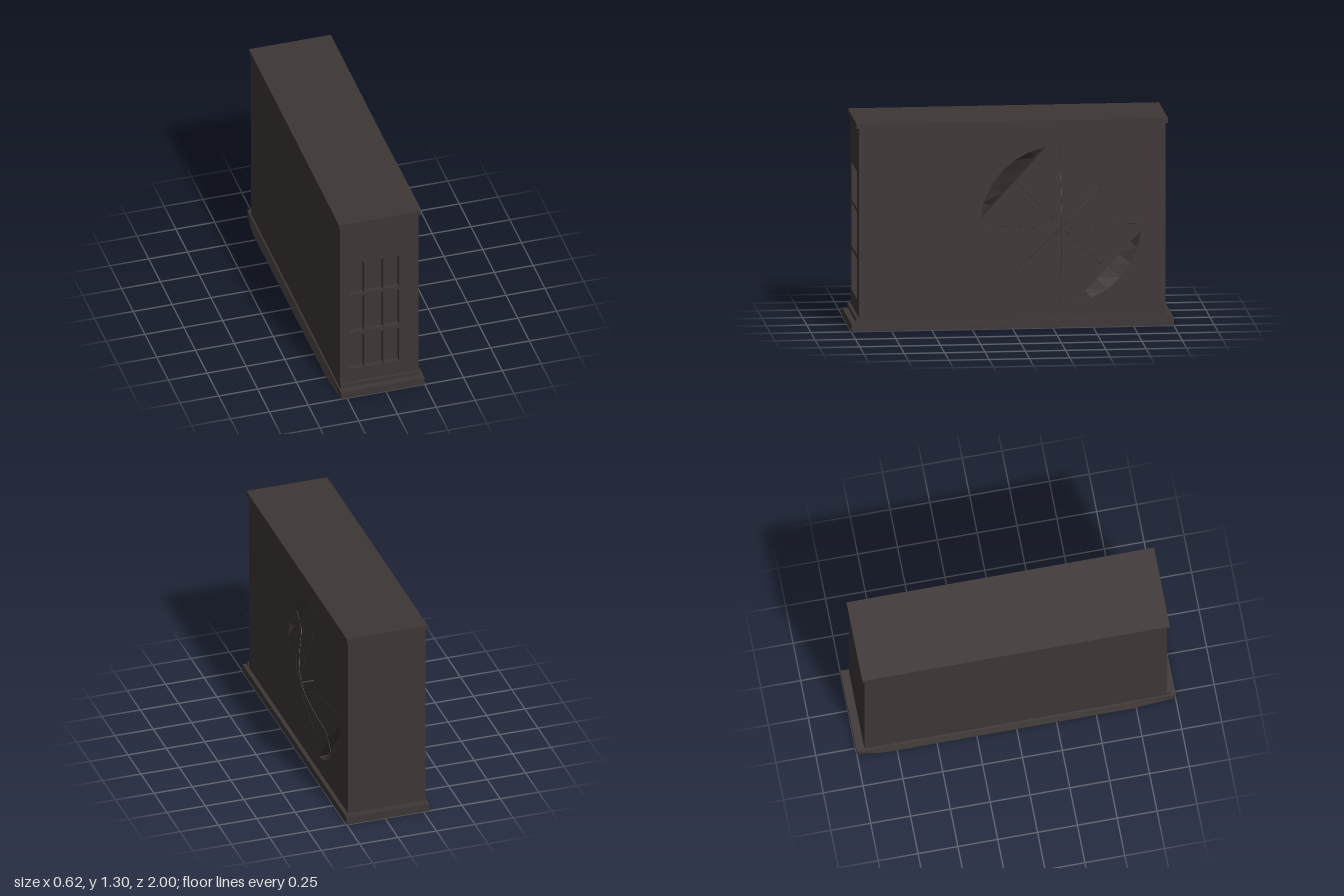
import * as THREE from 'three';

export function createModel() {
  const model = new THREE.Group();
  const dark = new THREE.MeshStandardMaterial({ color: 0x3d3635, side: THREE.DoubleSide });
  dark.name = 'darkCasing';

  const add = (name, geometry) => {
    const mesh = new THREE.Mesh(geometry, dark);
    mesh.name = name;
    model.add(mesh);
    return mesh;
  };
  // Box given by its two opposite corners
  const box = (name, x0, y0, z0, x1, y1, z1) => {
    const g = new THREE.BoxGeometry(x1 - x0, y1 - y0, z1 - z0);
    g.translate((x0 + x1) / 2, (y0 + y1) / 2, (z0 + z1) / 2);
    return add(name, g);
  };
  const rectangle = (x0, y0, x1, y1, Type = THREE.Shape) =>
    new Type([[x0, y0], [x1, y0], [x1, y1], [x0, y1]].map(p => new THREE.Vector2(...p)));

  // Base: its left side bulges outward and leans in towards the top
  const outline = [[-0.29, -1], [0.25, -1], [0.25, 1], [-0.29, 1], [-0.31, 0.83], [-0.31, -0.73]];
  let base = new THREE.ExtrudeGeometry(
    new THREE.Shape(outline.map(p => new THREE.Vector2(...p))), { depth: 0.05, bevelEnabled: false });
  base.rotateX(-Math.PI / 2);
  const pos = base.attributes.position;
  for (let i = 0; i < pos.count; i++) {
    if (pos.getY(i) > 0.025) pos.setX(i, Math.max(pos.getX(i), -0.29));
  }
  base.computeVertexNormals();
  add('base', base);

  // Case, base ledge and lid
  box('case', -0.28, 0.05, -0.95, 0.165, 1.27, 0.92);
  box('frontLedge', -0.28, 0.058, 0.95, 0.23, 0.083, 0.97);
  box('lid', -0.29, 1.27, -0.965, 0.237, 1.3, 0.965);

  // Front panel with nine openings
  const front = rectangle(-0.28, 0.05, 0.225, 1.27);
  for (const [x0, x1] of [[-0.22, -0.127], [-0.121, -0.003], [0.003, 0.1]]) {
    for (const [y0, y1] of [[0.18, 0.43], [0.457, 0.725], [0.745, 0.978]]) {
      front.holes.push(rectangle(x0, y0, x1, y1, THREE.Path));
    }
  }
  const frontGeometry = new THREE.ExtrudeGeometry(front, { depth: 0.03, bevelEnabled: false });
  frontGeometry.translate(0, 0, 0.92);
  add('frontPanel', frontGeometry);

  // Side panel with two cut segments of the round vent (u runs towards the back)
  const CU = 0.3, CY = 0.64, R = 0.5, FACE = 0.225, FLOOR = 0.165;
  const side = rectangle(-0.92, 0.05, 0.95, 1.27);
  const STEPS = 6;
  for (const [from, to] of [[100, 175], [-80, -5]]) {
    const arc = [];
    for (let i = 0; i <= STEPS; i++) {
      const a = THREE.MathUtils.degToRad(from + (to - from) * i / STEPS);
      arc.push(new THREE.Vector2(CU + R * Math.cos(a), CY + R * Math.sin(a)));
    }
    side.holes.push(new THREE.Path(arc));

    // Sloping floor from the rim down to the straight edge
    const v = [];
    const rim = i => [FACE, arc[i].y, -arc[i].x];
    const chord = i => {
      const p = arc[0].clone().lerp(arc[STEPS], i / STEPS);
      return [FLOOR, p.y, -p.x];
    };
    for (let i = 0; i < STEPS; i++) {
      v.push(...rim(i), ...rim(i + 1), ...chord(i));
      v.push(...chord(i), ...rim(i + 1), ...chord(i + 1));
    }
    const slope = new THREE.BufferGeometry();
    slope.setAttribute('position', new THREE.Float32BufferAttribute(v, 3));
    slope.computeVertexNormals();
    add('ventSlope', slope);
  }
  const sideGeometry = new THREE.ExtrudeGeometry(side, { depth: FACE - FLOOR, bevelEnabled: false });
  sideGeometry.rotateY(Math.PI / 2);
  sideGeometry.translate(FLOOR, 0, 0);
  add('sidePanel', sideGeometry);

  // Thin bowed wires radiating from the raised hub
  const profile = [[0, 0.308], [0.1, 0.297], [0.2, 0.27], [0.3, 0.237], [0.345, 0.226]];
  for (let k = 0; k < 8; k++) {
    const a = k * Math.PI / 4;
    const length = k % 2 ? 0.46 : 0.49;
    const points = [...profile, [length, 0.226]].map(([r, x]) =>
      new THREE.Vector3(x, CY + r * Math.sin(a), -CU - r * Math.cos(a)));
    add('ventWire', new THREE.TubeGeometry(new THREE.CatmullRomCurve3(points), 16, 0.0015, 4));
  }
  const hub = new THREE.CylinderGeometry(0.004, 0.004, 0.083, 6);
  hub.rotateZ(Math.PI / 2);
  hub.translate(0.266, CY, -CU);
  add('ventHub', hub);

  return model;
}
